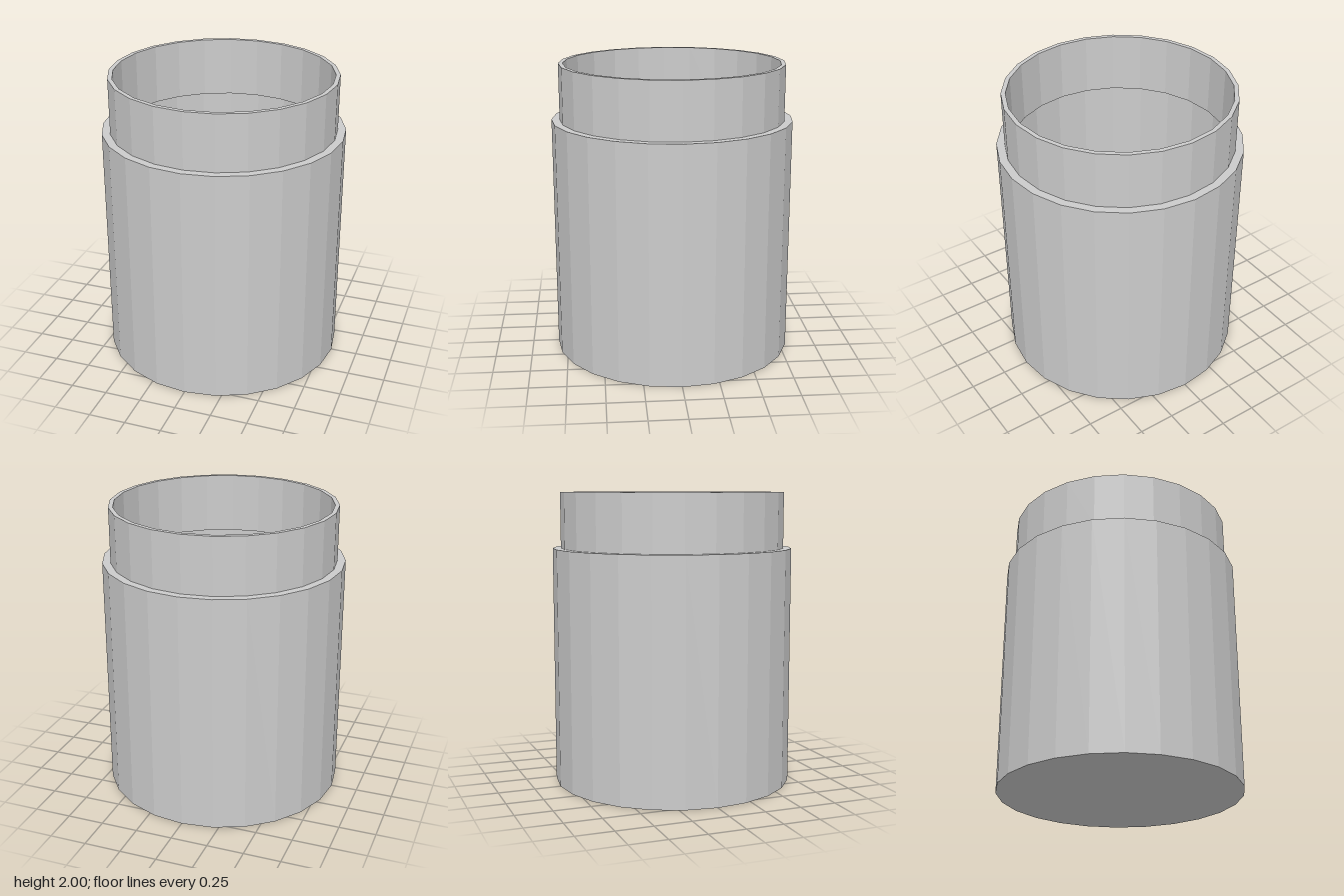
import * as THREE from 'three';

const SIDES = 24;

export function createModel() {
  const group = new THREE.Group();
  group.name = 'jar';
  const material = new THREE.MeshStandardMaterial({ color: 0xcccccc, flatShading: true });

  // Each profile runs so that its surface faces outward from the wall
  const addLathe = (name, profile) => {
    const points = profile.map(([r, y]) => new THREE.Vector2(r, y));
    const mesh = new THREE.Mesh(new THREE.LatheGeometry(points, SIDES), material);
    mesh.name = name;
    group.add(mesh);
  };

  // Base, outer wall and shoulder
  addLathe('body', [[0, 0], [0.82, 0], [0.82, 1.62], [0.765, 1.62]]);

  // Thin-walled neck with a flat rim
  addLathe('neck', [[0.765, 1.62], [0.765, 2], [0.735, 2], [0.735, 1.59]]);

  // Hollow inside, slightly wider below the neck
  addLathe('interior', [[0.735, 1.59], [0.79, 1.59], [0.79, 0.03], [0, 0.03]]);

  return group;
}
